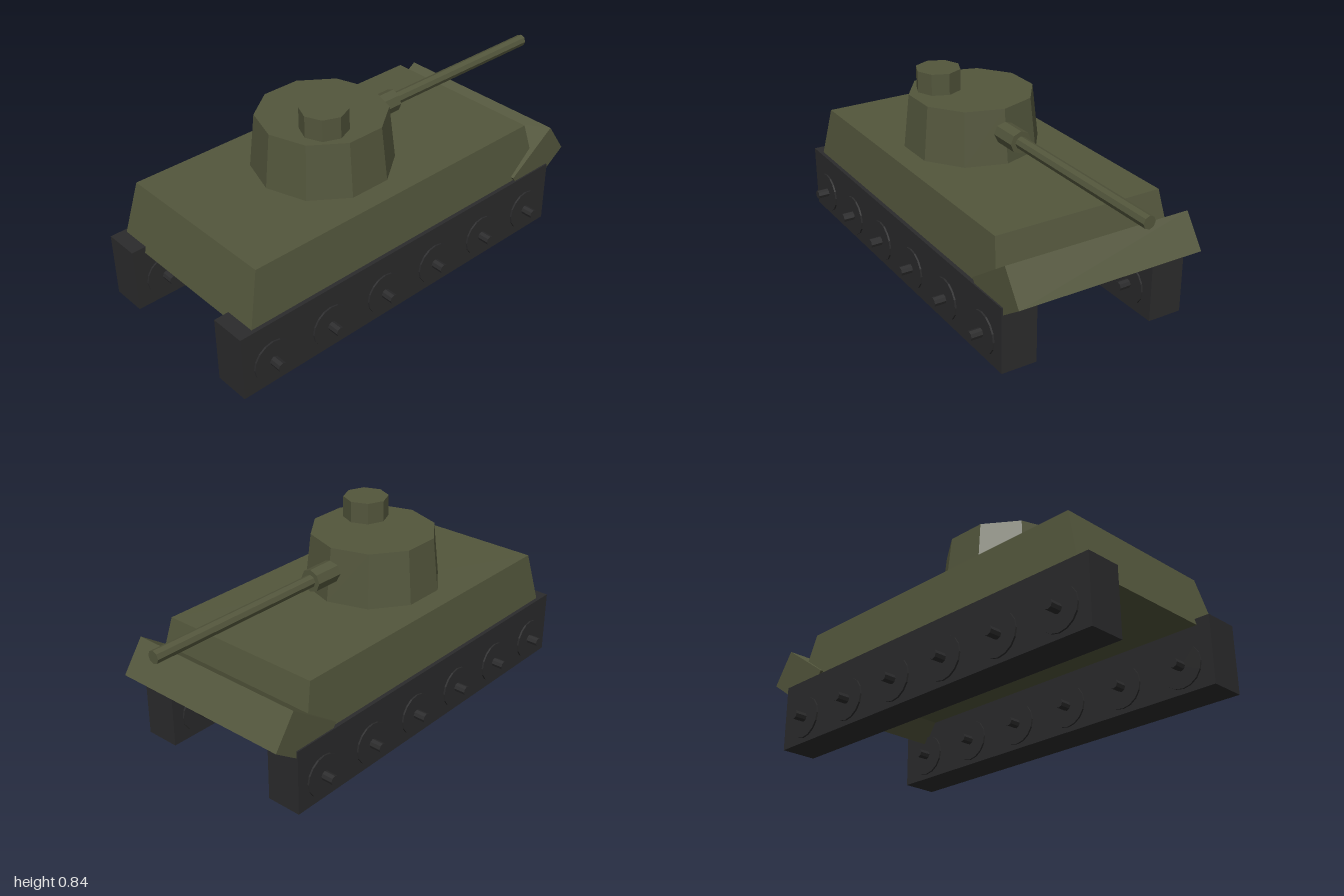
import * as THREE from 'three';

const olive = new THREE.MeshStandardMaterial({ name: 'olive armour', color: 0x53563c, flatShading: true });
const charcoal = new THREE.MeshStandardMaterial({ name: 'charcoal running gear', color: 0x2b2b2c, flatShading: true });

function add(parent, name, geometry, material, x, y, z) {
  const mesh = new THREE.Mesh(geometry, material);
  mesh.name = name;
  mesh.position.set(x, y, z);
  parent.add(mesh);
  return mesh;
}

// Box whose top face is scaled inwards
function taperedBox(w, h, d, topScale) {
  const g = new THREE.BoxGeometry(w, h, d);
  const p = g.attributes.position;
  for (let i = 0; i < p.count; i++) {
    if (p.getY(i) > 0) p.setXYZ(i, p.getX(i) * topScale, p.getY(i), p.getZ(i) * topScale);
  }
  g.computeVertexNormals();
  return g;
}

// Cylinder lying along the x axis
const axial = (r, length, sides) => new THREE.CylinderGeometry(r, r, length, sides).rotateZ(Math.PI / 2);

// Cylinder lying along z between two ends
function tubeAlongZ(parent, name, r, z0, z1, y) {
  const g = new THREE.CylinderGeometry(r, r, Math.abs(z1 - z0), 8).rotateX(Math.PI / 2);
  return add(parent, name, g, olive, 0, y, (z0 + z1) / 2);
}

export function createModel() {
  const tank = new THREE.Group();
  tank.name = 'tank';

  // Hull with sloped sides
  add(tank, 'hull', taperedBox(0.828, 0.256, 1.596, 0.921), olive, 0, 0.387, 0.144);

  // Tilted plate under the barrel
  const plate = add(tank, 'tiltedPlate', new THREE.BoxGeometry(0.843, 0.168, 0.282), olive, 0, 0.317, -0.656);
  plate.rotation.x = 0.606;

  // Turret, hatch and gun
  const turret = new THREE.Group();
  turret.name = 'turret';
  tank.add(turret);
  add(turret, 'turretBody', new THREE.CylinderGeometry(0.272, 0.298, 0.237, 10), olive, 0, 0.6325, 0.228);
  add(turret, 'hatch', new THREE.CylinderGeometry(0.099, 0.099, 0.105, 8), olive, 0.113, 0.7925, 0.314);
  tubeAlongZ(turret, 'gunMount', 0.049, 0, -0.17, 0.647);
  tubeAlongZ(turret, 'barrel', 0.027, 0, -1, 0.647);

  // Tracks with six wheels and axles each
  const wheelGeometry = axial(0.09, 0.171, 16);
  const axleGeometry = axial(0.02, 0.273, 8);
  for (const side of [1, -1]) {
    const track = new THREE.Group();
    track.name = side > 0 ? 'leftTrack' : 'rightTrack';
    track.position.x = side * 0.35;
    tank.add(track);
    add(track, 'trackBlock', new THREE.BoxGeometry(0.156, 0.286, 1.714), charcoal, 0, 0.143, 0.143);
    for (let i = 0; i < 6; i++) {
      const z = 0.859 - i * 0.2865;
      add(track, 'wheel', wheelGeometry, charcoal, 0, 0.11, z);
      add(track, 'axle', axleGeometry, charcoal, 0, 0.11, z);
    }
  }
  return tank;
}
